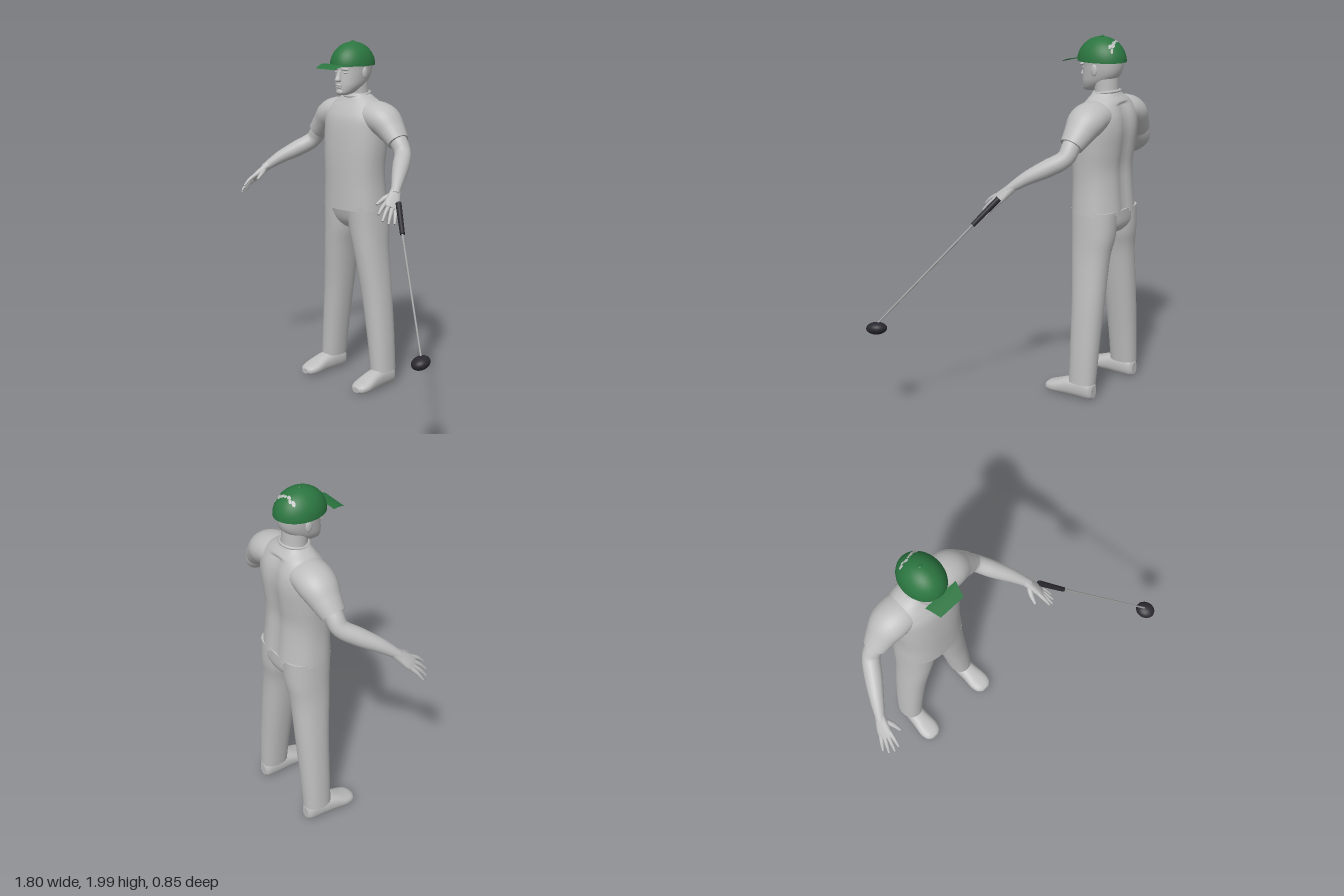
import * as THREE from 'three';

const mat = (name, color, side = THREE.FrontSide) => {
  const m = new THREE.MeshStandardMaterial({ color, side });
  m.name = name;
  return m;
};
const V = (x, y, z) => new THREE.Vector3(x, y, z);
const X = V(1, 0, 0), Y = V(0, 1, 0), Z = V(0, 0, 1);

// Smooth closed loft through rings [x, y, z, a, b]: radius b lies along ref, a across it.
// A fixed axis keeps all rings parallel; otherwise they follow the path.
function loft(rings, { ref = Z, axis = null, n = 2, sides = 28, steps = 5, tweak = null } = {}) {
  const curve = (pts) => new THREE.CatmullRomCurve3(pts, false, 'catmullrom', 0.5);
  const path = curve(rings.map(r => V(r[0], r[1], r[2])));
  const size = curve(rings.map(r => V(r[3], r[4] ?? r[3], 0)));
  const rows = (rings.length - 1) * steps;
  const pos = [], idx = [];
  for (let i = 0; i <= rows; i++) {
    const c = path.getPoint(i / rows), s = size.getPoint(i / rows);
    const t = axis || path.getTangent(i / rows);
    const w = ref.clone().addScaledVector(t, -ref.dot(t)).normalize();
    const u = w.clone().cross(t);
    for (let j = 0; j < sides; j++) {
      const q = j / sides * Math.PI * 2, co = Math.cos(q), si = Math.sin(q);
      const p = c.clone()
        .addScaledVector(u, s.x * Math.sign(co) * Math.abs(co) ** (2 / n))
        .addScaledVector(w, s.y * Math.sign(si) * Math.abs(si) ** (2 / n));
      if (tweak) tweak(p);
      pos.push(p.x, p.y, p.z);
      if (i < rows) {
        const k = (j + 1) % sides, a = i * sides + j, b = i * sides + k;
        idx.push(a, b, b + sides, a, b + sides, a + sides);
      }
    }
  }
  // End caps with their own vertices so the rims stay crisp
  for (const end of [0, 1]) {
    const first = pos.length / 3, src = end * rows * sides * 3;
    pos.push(...pos.slice(src, src + sides * 3));
    pos.push(...path.getPoint(end).toArray());
    for (let j = 0; j < sides; j++) {
      const a = first + j, b = first + (j + 1) % sides;
      idx.push(first + sides, end ? a : b, end ? b : a);
    }
  }
  const g = new THREE.BufferGeometry();
  g.setAttribute('position', new THREE.Float32BufferAttribute(pos, 3));
  g.setIndex(idx);
  g.computeVertexNormals();
  return g;
}

// Upright loft from rows [y, halfWidth, zFront, zBack], bottom to top
const upright = (rows, opt = {}) =>
  loft(rows.map(([y, w, f, b]) => [0, y, (f + b) / 2, w, (f - b) / 2]), { axis: Y, ...opt });

export function createModel() {
  const grey = mat('bodyGrey', 0xbdbdbd);
  const green = mat('capGreen', 0x2b7540, THREE.DoubleSide);
  const dark = mat('clubDark', 0x2b2930);
  const steel = mat('shaftSteel', 0x9a9a9a);

  const model = new THREE.Group();
  const figure = new THREE.Group();
  figure.name = 'figure';
  figure.position.x = -0.276;
  model.add(figure);
  const add = (name, geo, m = grey, parent = figure) => {
    const mesh = new THREE.Mesh(geo, m);
    mesh.name = name;
    parent.add(mesh);
    return mesh;
  };
  const ball = (name, x, y, z, rx, ry, rz, m = grey, parent = figure) => {
    const b = add(name, new THREE.SphereGeometry(1, 28, 18), m, parent);
    b.position.set(x, y, z);
    b.scale.set(rx, ry, rz);
    return b;
  };

  // Shirt, with a shallow groove down the spine
  add('shirt', upright([
    [1.05, 0.2, -0.13, -0.425], [1.2, 0.19, -0.13, -0.41], [1.3, 0.192, -0.13, -0.405],
    [1.4, 0.2, -0.133, -0.415], [1.5, 0.205, -0.14, -0.425], [1.57, 0.205, -0.152, -0.42],
    [1.62, 0.185, -0.175, -0.405], [1.66, 0.14, -0.2, -0.385], [1.685, 0.1, -0.213, -0.365],
    [1.705, 0.072, -0.22, -0.352]], {
    n: 2.3, sides: 48,
    tweak: p => { if (p.z < -0.3 && p.y < 1.65) p.z += 0.018 * Math.exp(-((p.x / 0.04) ** 2)); },
  }));
  const collar = add('collar', new THREE.TorusGeometry(0.073, 0.008, 8, 32));
  collar.position.set(0, 1.7, -0.285);
  collar.rotation.x = Math.PI / 2 + 0.15;

  // Seat of the trousers
  add('trouserSeat', upright([
    [0.925, 0.03, -0.24, -0.34], [0.945, 0.09, -0.2, -0.385], [0.99, 0.175, -0.165, -0.415],
    [1.07, 0.193, -0.14, -0.418]], { n: 2.3, sides: 36 }));

  // Neck, head and face
  add('neck', upright([[1.62, 0.08, -0.215, -0.36], [1.7, 0.068, -0.22, -0.35],
    [1.79, 0.068, -0.21, -0.345]]));
  add('head', upright([
    [1.7, 0.025, -0.155, -0.2], [1.715, 0.048, -0.145, -0.25], [1.75, 0.07, -0.143, -0.31],
    [1.79, 0.081, -0.146, -0.355], [1.84, 0.088, -0.15, -0.373], [1.89, 0.088, -0.15, -0.37],
    [1.93, 0.055, -0.2, -0.32]], { n: 2.2, sides: 36 }));
  add('nose', upright([[1.773, 0.01, -0.135, -0.16], [1.783, 0.018, -0.118, -0.16],
    [1.81, 0.011, -0.13, -0.165], [1.842, 0.008, -0.145, -0.17]], { sides: 16 }));
  ball('upperLip', 0, 1.755, -0.146, 0.026, 0.007, 0.012);
  ball('lowerLip', 0, 1.744, -0.146, 0.022, 0.007, 0.011);
  ball('chin', 0, 1.717, -0.152, 0.026, 0.017, 0.016);

  for (const s of [1, -1]) {
    const side = s > 0 ? 'left' : 'right';
    const m = rings => rings.map(([x, ...rest]) => [s * x, ...rest]);
    ball(side + 'Brow', s * 0.035, 1.845, -0.158, 0.03, 0.008, 0.014);
    ball(side + 'Eye', s * 0.034, 1.825, -0.164, 0.014, 0.008, 0.012);
    ball(side + 'Ear', s * 0.089, 1.822, -0.262, 0.009, 0.032, 0.019);

    // Sleeve and bare arm
    add(side + 'Sleeve', loft(m([
      [0.08, 1.585, -0.295, 0.08, 0.1], [0.155, 1.582, -0.295, 0.086, 0.105],
      [0.215, 1.558, -0.296, 0.088, 0.102], [0.27, 1.51, -0.294, 0.074, 0.083],
      [0.325, 1.457, -0.288, 0.058, 0.065]])));
    add(side + 'Arm', loft(m([
      [0.25, 1.53, -0.292, 0.05], [0.325, 1.457, -0.29, 0.05], [0.37, 1.395, -0.278, 0.047],
      [0.425, 1.345, -0.207, 0.047], [0.485, 1.295, -0.125, 0.037], [0.53, 1.245, -0.06, 0.026],
      [0.54, 1.228, -0.043, 0.025]])));

    // Hand: flat palm, four spread fingers and a thumb
    const hand = new THREE.Group();
    hand.name = side + 'Hand';
    figure.add(hand);
    const spread = V(0.65 * s, -0.55, -0.5);
    add('palm', loft(m([
      [0.526, 1.25, -0.066, 0.022, 0.026], [0.545, 1.217, -0.032, 0.02, 0.034],
      [0.562, 1.185, 0, 0.018, 0.041], [0.574, 1.165, 0.022, 0.012, 0.038]]),
      { ref: spread, n: 2.4 }), grey, hand);
    const tips = [[0.558, 1.14, 0.098], [0.585, 1.108, 0.095], [0.61, 1.092, 0.075], [0.625, 1.09, 0.045]];
    tips.forEach((tip, i) => {
      const k = -0.03 + i * 0.02;
      const root = [0.564 + 0.65 * k, 1.18 - 0.55 * k, 0.008 - 0.5 * k];
      const mid = root.map((v, j) => v * 0.45 + tip[j] * 0.55);
      mid[1] += 0.006;
      add('finger', loft(m([[...root, 0.012], [...mid, 0.0105], [...tip, 0.006]]),
        { ref: spread, sides: 12 }), grey, hand);
    });
    add('thumb', loft(m([[0.536, 1.228, -0.04, 0.016], [0.51, 1.207, 0.003, 0.014],
      [0.496, 1.178, 0.05, 0.007]]), { ref: X, sides: 12 }), grey, hand);

    // Trouser leg from rows [y, inner x, outer x, front z, back z]
    const leg = [[0.1, 0.147, 0.272, -0.217, -0.375], [0.3, 0.12, 0.26, -0.212, -0.38],
      [0.55, 0.08, 0.238, -0.2, -0.386], [0.8, 0.037, 0.211, -0.174, -0.392],
      [0.93, 0.003, 0.202, -0.162, -0.41], [1.07, -0.01, 0.194, -0.15, -0.415]];
    add(side + 'TrouserLeg', loft(leg.map(([y, i, o, f, b]) =>
      [s * (i + o) / 2, y, (f + b) / 2, (o - i) / 2, (f - b) / 2]), { axis: Y, n: 2.2, sides: 36 }));

    // Shoe, heel to toe
    add(side + 'Shoe', loft(m([
      [0.208, 0.055, -0.372, 0.025, 0.035], [0.208, 0.063, -0.35, 0.045, 0.055],
      [0.21, 0.063, -0.27, 0.052, 0.057], [0.214, 0.056, -0.2, 0.056, 0.05],
      [0.217, 0.042, -0.13, 0.062, 0.036], [0.218, 0.034, -0.085, 0.05, 0.027],
      [0.218, 0.031, -0.065, 0.025, 0.015]]), { axis: Z, ref: Y, n: 2.4 }));
  }

  // Cap: dome, button, brim and worn light patches at the back
  const cap = new THREE.Group();
  cap.name = 'cap';
  cap.position.set(0, 1.862, -0.251);
  figure.add(cap);
  const dome = add('capDome', new THREE.SphereGeometry(1, 40, 16, 0, Math.PI * 2, 0, Math.PI / 2), green, cap);
  dome.scale.set(0.112, 0.13, 0.14);
  ball('capButton', 0, 0.131, 0, 0.011, 0.006, 0.011, green, cap);
  const brim = new THREE.PlaneGeometry(2, 1, 12, 6);
  const bp = brim.attributes.position;
  for (let i = 0; i < bp.count; i++) {
    const t = 0.5 - bp.getY(i);
    bp.setXYZ(i, bp.getX(i) * (0.1 - 0.025 * t), 0.01 - 0.004 * t - 0.018 * t * t, 0.13 + 0.08 * t);
  }
  brim.computeVertexNormals();
  add('capBrim', brim, green, cap);
  const patches = [[-0.055, -0.075, 0.012], [-0.038, -0.083, 0.01], [-0.02, -0.076, 0.012], [0, -0.082, 0.009],
    [0.018, -0.086, 0.012], [0.036, -0.092, 0.014], [0.052, -0.084, 0.011], [0.056, -0.1, 0.009]];
  for (const [x, z, r] of patches) {
    const patch = new THREE.CircleGeometry(r, 7).rotateX(-Math.PI / 2);
    const pp = patch.attributes.position;
    for (let i = 0; i < pp.count; i++) {
      const px = x + pp.getX(i), pz = z + pp.getZ(i) * 0.7;
      pp.setXYZ(i, px, 0.002 + 0.13 * Math.sqrt(Math.max(0, 1 - (px / 0.112) ** 2 - (pz / 0.14) ** 2)), pz);
    }
    patch.computeVertexNormals();
    add('capPatch', patch, grey, cap);
  }

  // Golf club: grip, shaft and rounded head
  const club = new THREE.Group();
  club.name = 'golfClub';
  model.add(club);
  const rod = (name, a, b, ra, rb, m) => {
    const d = b.clone().sub(a);
    const r = add(name, new THREE.CylinderGeometry(rb, ra, d.length(), 16), m, club);
    r.position.copy(a).addScaledVector(d, 0.5);
    r.quaternion.setFromUnitVectors(Y, d.normalize());
  };
  const top = V(0.315, 1.19, -0.018), gripEnd = V(0.428, 1.055, 0.068), tip = V(0.845, 0.57, 0.368);
  rod('grip', top, gripEnd, 0.016, 0.013, dark);
  rod('shaft', gripEnd, tip, 0.0065, 0.005, steel);
  const head = ball('clubHead', 0.85, 0.54, 0.374, 0.047, 0.033, 0.056, dark, club);
  head.rotation.set(0.12, 0.35, 0.2);

  return model;
}
